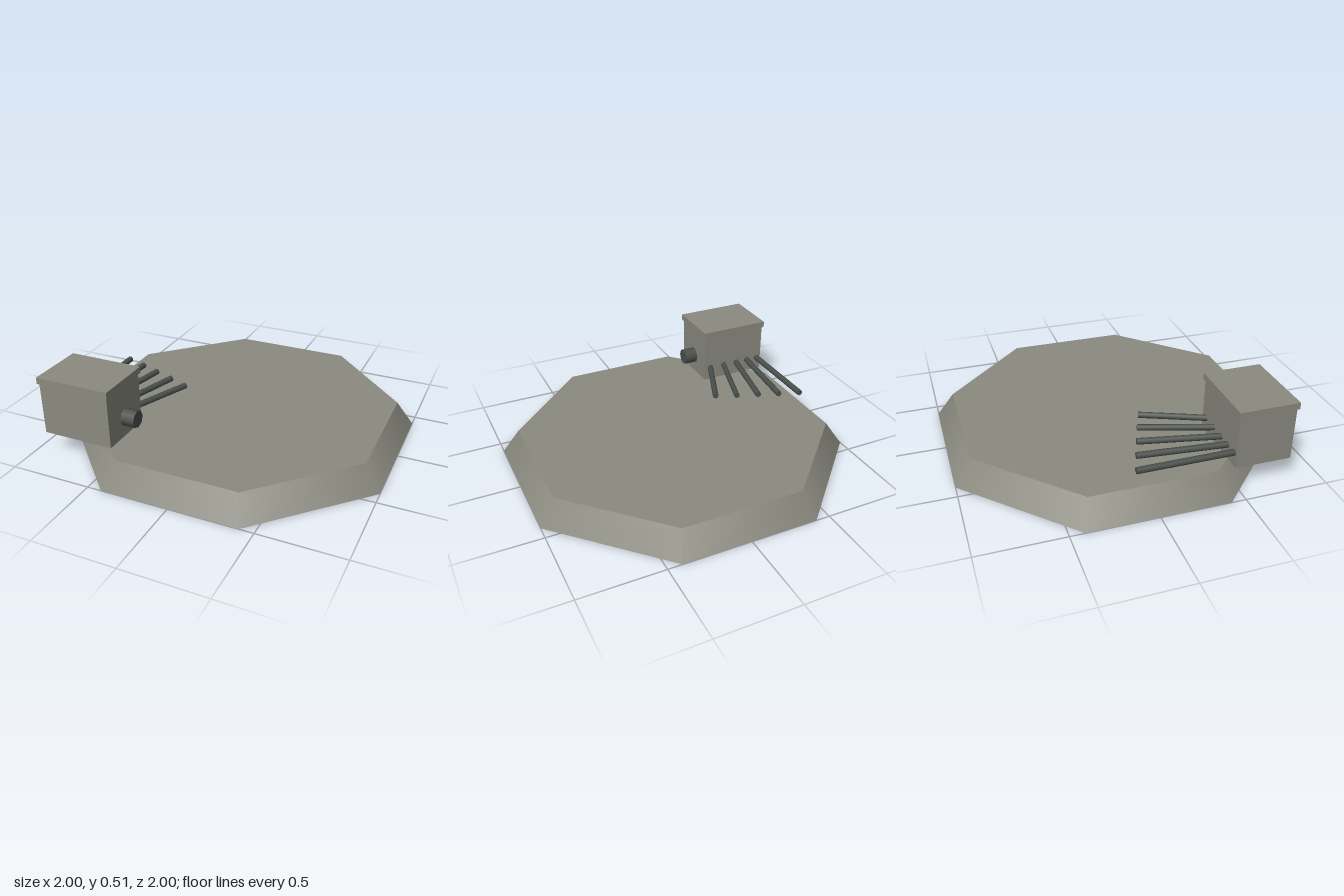
import * as THREE from 'three';

export function createModel() {
  const model = new THREE.Group();
  const concrete = new THREE.MeshStandardMaterial({ name: 'concrete grey', color: 0x8a8a80 });
  const metal = new THREE.MeshStandardMaterial({ name: 'dark metal', color: 0x4a504c });

  const add = (name, geometry, material, x, y, z, parent = model) => {
    const mesh = new THREE.Mesh(geometry, material);
    mesh.name = name;
    mesh.position.set(x, y, z);
    parent.add(mesh);
    return mesh;
  };

  // Octagonal pad with sloped, smoothly shaded sides
  const flat = Math.cos(Math.PI / 8);
  const pad = new THREE.CylinderGeometry(0.9 / flat, 1 / flat, 0.15, 8).rotateY(Math.PI / 8);
  add('pad', pad, concrete, 0, 0.075, 0);

  // Control box overhanging one corner of the pad
  const box = new THREE.Group();
  box.name = 'controlBox';
  model.add(box);
  add('boxBody', new THREE.BoxGeometry(0.445, 0.32, 0.336), concrete, -0.682, 0.31, 0.637, box);
  add('boxLid', new THREE.BoxGeometry(0.464, 0.04, 0.356), concrete, -0.682, 0.49, 0.637, box);

  // Short outlet on the side of the box
  const outlet = new THREE.CylinderGeometry(0.053, 0.053, 0.12, 8).rotateZ(Math.PI / 2);
  add('sideOutlet', outlet, metal, -0.435, 0.27, 0.637, box);

  // Pipes fanning out behind the box: tip x, tip z, turn
  const pipes = new THREE.Group();
  pipes.name = 'pipes';
  model.add(pipes);
  const length = 0.62;
  const tips = [[-0.873, -0.098], [-0.742, -0.052], [-0.614, -0.004], [-0.481, 0.047], [-0.352, 0.1]];
  tips.forEach(([x, z], i) => {
    const turn = i * 0.098;
    const geometry = new THREE.CylinderGeometry(0.019, 0.019, length, 8).rotateX(-Math.PI / 2);
    const pipe = add('pipe' + (i + 1), geometry, metal,
      x - Math.sin(turn) * length / 2, 0.237, z + Math.cos(turn) * length / 2, pipes);
    pipe.rotation.y = -turn;
  });

  return model;
}
